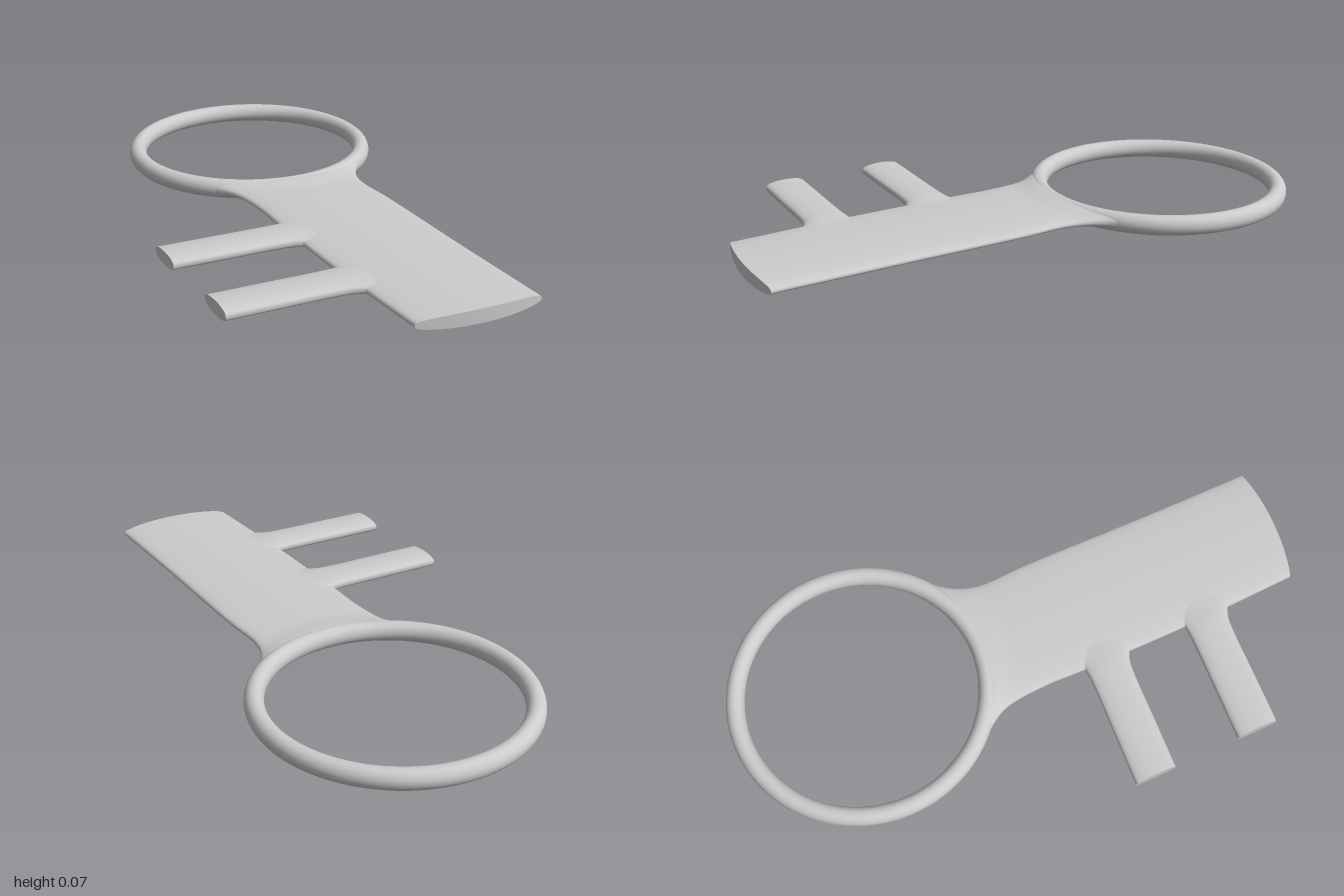
import * as THREE from 'three';

const MID = 0.035; // height of the flat key's middle plane

// Smooth plan curve through [x, z] points.
const planCurve = pts => new THREE.CatmullRomCurve3(pts.map(([x, z]) => new THREE.Vector3(x, MID, z)));

// Lofts a flat, round-edged slab between two side edges; the far end is capped.
// half(s) is the half thickness, bow(s) how far a row bulges along bowDir.
function loftSlab(edgeA, edgeB, half, bow, bowDir, rows = 56, cols = 48) {
  const a = planCurve(edgeA), b = planCurve(edgeB);
  const pos = [], idx = [];
  const addRow = s => {
    const p = a.getPoint(s), q = b.getPoint(s);
    for (let j = 0; j < cols; j++) {
      const th = (j / cols) * Math.PI * 2;
      const t = (1 - Math.cos(th)) / 2, sn = Math.sin(th);
      const v = p.clone().lerp(q, t).addScaledVector(bowDir, bow(s) * 4 * t * (1 - t));
      pos.push(v.x, MID + half(s) * Math.sign(sn) * Math.abs(sn) ** 0.7, v.z);
    }
  };
  for (let i = 0; i <= rows; i++) addRow(i / rows);
  for (let i = 0; i < rows; i++) {
    for (let j = 0; j < cols; j++) {
      const k = i * cols + j, n = i * cols + (j + 1) % cols;
      idx.push(k, n, k + cols, n, n + cols, k + cols);
    }
  }
  // End cap with its own vertices, so its rim stays sharp
  const base = (rows + 1) * cols;
  addRow(1);
  for (let j = 0; j < cols / 2; j++) {
    const t0 = base + j, t1 = base + j + 1;
    const b0 = base + (cols - j) % cols, b1 = base + cols - j - 1;
    if (j > 0) idx.push(t0, t1, b0);
    if (t1 !== b1) idx.push(t1, b1, b0);
  }
  const g = new THREE.BufferGeometry();
  g.setAttribute('position', new THREE.Float32BufferAttribute(pos, 3));
  g.setIndex(idx);
  g.computeVertexNormals();
  return g;
}

export function createModel() {
  const key = new THREE.Group();
  key.name = 'key';
  const material = new THREE.MeshStandardMaterial({ color: 0xcccccc });
  const add = (name, geometry) => {
    const mesh = new THREE.Mesh(geometry, material);
    mesh.name = name;
    key.add(mesh);
    return mesh;
  };

  // Ring-shaped bow
  const ring = new THREE.TorusGeometry(0.436, 0.032, 24, 128);
  ring.scale(1, 1, 1.09);
  ring.rotateX(Math.PI / 2);
  add('ring', ring).position.set(-0.532, MID, -0.335);

  // Blade, flaring out to hug the ring
  const smooth = THREE.MathUtils.smoothstep;
  add('blade', loftSlab(
    [[-0.085, -0.46], [-0.06, -0.4], [-0.02, -0.345], [0.04, -0.3], [0.2, -0.235], [0.6, -0.055], [1, 0.12]],
    [[-0.4, 0.11], [-0.32, 0.085], [-0.24, 0.077], [-0.1, 0.12], [0.05, 0.19], [0.4, 0.345], [0.8, 0.505]],
    s => 0.033 - 0.009 * smooth(s, 0, 0.4),
    s => 0.114 - 0.089 * s,
    new THREE.Vector3(0.88, 0, 0.47)
  ));

  // Two identical teeth with filleted roots
  const toothRight = [[0.26, 0.23], [0.215, 0.25], [0.178, 0.28], [0.147, 0.33], [0.068, 0.487], [-0.012, 0.645]];
  const toothLeft = [[0.06, 0.1], [0.05, 0.175], [0.037, 0.215], [0.014, 0.265], [-0.067, 0.425], [-0.148, 0.585]];
  const tooth = loftSlab(toothRight, toothLeft,
    s => 0.02 + 0.004 * smooth(s, 0, 0.4), () => 0, new THREE.Vector3());
  ['innerTooth', 'outerTooth'].forEach((name, i) => {
    add(name, tooth).position.set(0.355 * i, 0, 0.155 * i);
  });
  return key;
}
